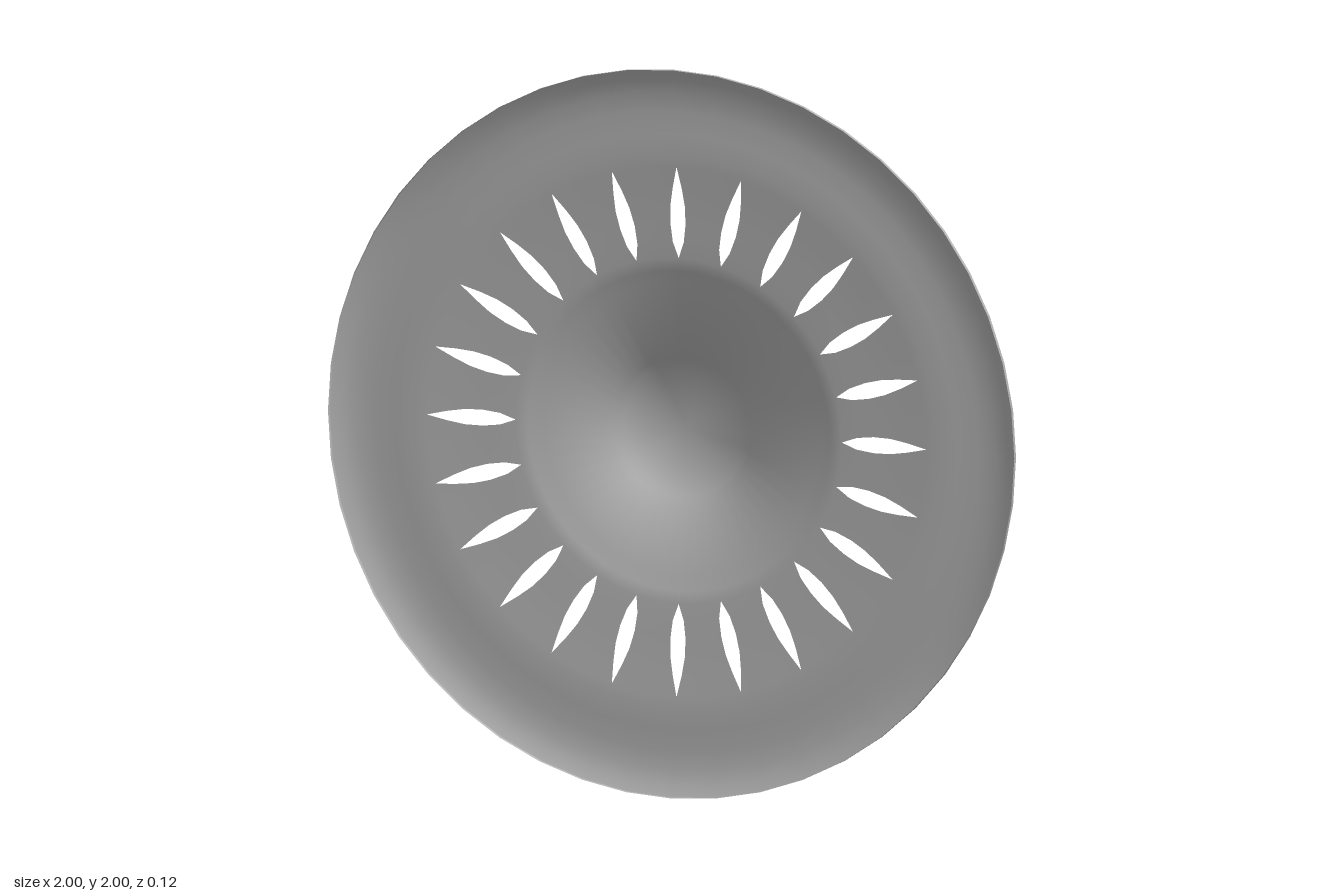
import * as THREE from 'three';

const SLOTS = 24;
const STEP = Math.PI / SLOTS; // half a slot sector

// Rings of the pressed sheet: [radius, z, half width of the slot]
const RINGS = [
  [0, -0.058, 0], [0.182, -0.058, 0], [0.197, -0.034, 0], [0.4, -0.02, 0],
  [0.44, 0, 0], [0.475, 0.003, 0], [0.52, 0.006, 0.016], [0.57, 0.008, 0.022],
  [0.62, 0.011, 0.021], [0.67, 0.014, 0.013], [0.728, 0.019, 0], [0.76, 0.021, 0],
  [0.82, 0.02, 0], [0.88, 0.017, 0], [0.93, 0.021, 0], [0.97, 0.03, 0], [1, 0.045, 0],
];

// Smooth tilt of each ring: mean of the slopes on either side
function ringTilts() {
  const slopes = RINGS.slice(1).map(([r, z], i) => Math.atan2(z - RINGS[i][1], r - RINGS[i][0]));
  return RINGS.map((_, i) => {
    if (i === 0) return 0;
    return (slopes[i - 1] + (slopes[i] ?? slopes[i - 1])) / 2;
  });
}

// Each sector is two strips that part in the middle wherever the slot opens
function dishGeometry() {
  const positions = [], normals = [], index = [];
  const tilts = ringTilts();
  for (let s = 0; s < SLOTS; s++) {
    const middle = s * 2 * STEP;
    for (const side of [-1, 1]) {
      const start = positions.length / 3;
      RINGS.forEach(([r, z, half], i) => {
        const open = r > 0 ? Math.asin(half / r) : 0;
        const angles = side < 0 ? [middle - STEP, middle - open] : [middle + open, middle + STEP];
        for (const a of angles) {
          const c = Math.cos(a), n = Math.sin(a), t = Math.sin(tilts[i]);
          positions.push(r * c, r * n, z);
          normals.push(-t * c, -t * n, Math.cos(tilts[i]));
        }
        if (i > 0) {
          const b = start + i * 2, p = b - 2;
          if (i > 1) index.push(p, b, p + 1);
          index.push(p + 1, b, b + 1);
        }
      });
    }
  }
  const g = new THREE.BufferGeometry();
  g.setAttribute('position', new THREE.Float32BufferAttribute(positions, 3));
  g.setAttribute('normal', new THREE.Float32BufferAttribute(normals, 3));
  g.setIndex(index);
  return g;
}

export function createModel() {
  const model = new THREE.Group();
  model.name = 'slottedDish';
  const metal = new THREE.MeshStandardMaterial({ color: 0xb3b3b3, side: THREE.DoubleSide });
  metal.name = 'grey metal';

  // Dished disc with its ring of slots
  const dish = new THREE.Mesh(dishGeometry(), metal);
  dish.name = 'dish';
  dish.position.y = 1;

  // Narrow lip around the edge
  const lip = new THREE.Mesh(new THREE.CylinderGeometry(1, 1, 0.013, SLOTS * 2, 1, true), metal);
  lip.name = 'rimLip';
  lip.rotation.x = Math.PI / 2;
  lip.position.set(0, 1, 0.0515);

  model.add(dish, lip);
  return model;
}
